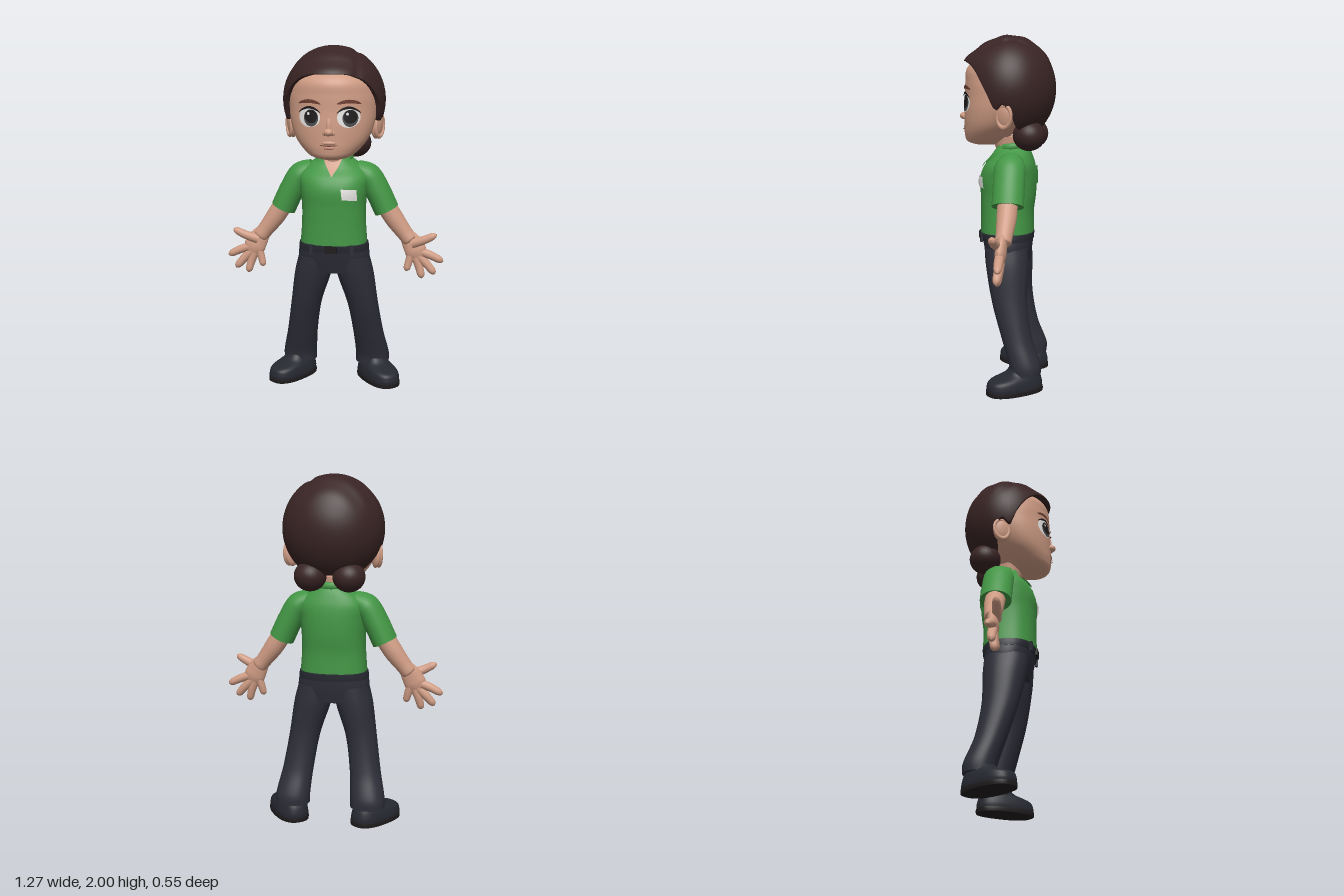
import * as THREE from 'three';

const paint = (name, color) => {
  const m = new THREE.MeshStandardMaterial({ color, side: THREE.DoubleSide });
  m.name = name;
  return m;
};
const SKIN = paint('skin', 0xcf9c84), HAIR = paint('darkBrownHair', 0x392424);
const GREEN = paint('greenShirt', 0x439645), NAVY = paint('darkTrousers', 0x2d2e38);
const SHOE = paint('shoeLeather', 0x272931), WHITE = paint('white', 0xe6e4e2);
const DARK = paint('nearBlack', 0x1f1b1c), IRIS = paint('greyIris', 0x4a4c4e);
const BROW = paint('browBrown', 0x6b3d30), LIP = paint('lip', 0xbd8470);

// Cross-section tables: [y, x, z, half width, half depth]
const HEAD = [[1.385, 0, .125, .06, .065], [1.4, 0, .135, .108, .1], [1.44, 0, .115, .158, .135],
  [1.5, 0, .086, .205, .166], [1.58, 0, .056, .235, .196], [1.66, 0, .04, .245, .207],
  [1.74, 0, .033, .245, .212], [1.82, 0, .03, .222, .203], [1.9, 0, .025, .14, .12]];
const TORSO = [[.885, 0, .005, .193, .152], [1, 0, .005, .185, .151], [1.1, 0, 0, .185, .158],
  [1.2, 0, 0, .195, .16], [1.27, 0, -.01, .2, .143], [1.32, 0, -.025, .165, .113],
  [1.36, 0, -.03, .11, .092], [1.385, 0, -.025, .08, .078]];
const HIPS = [[.71, 0, -.005, .2, .118], [.8, 0, 0, .208, .138], [.885, 0, .006, .194, .15]];
const LEG = [[.1, .222, -.122, .1, .088], [.15, .222, -.12, .1, .09], [.3, .2, -.07, .09, .086],
  [.5, .168, -.025, .09, .1], [.7, .122, -.007, .108, .122], [.8, .105, 0, .1, .125]];
const SHOE_ROWS = [[.02, 0, 0, .092, .166], [.045, 0, 0, .093, .167], [.08, 0, -.006, .086, .153],
  [.11, 0, -.045, .072, .1], [.15, 0, -.06, .06, .075]];
// Hairline height by angle from the front, in degrees
const HAIRLINE = [[0, 1.855], [25, 1.85], [46, 1.81], [66, 1.69], [77, 1.59], [88, 1.62],
  [98, 1.56], [112, 1.48], [140, 1.45], [180, 1.45]];

// Smooth interpolation of a table by its first column
function rowAt(rows, y) {
  const n = rows.length - 1;
  let i = 0;
  while (i < n - 1 && y > rows[i + 1][0]) i++;
  const a = rows[i], b = rows[i + 1], h = b[0] - a[0];
  const t = Math.min(1, Math.max(0, (y - a[0]) / h));
  const slope = (k, c) => {
    const p = rows[Math.max(0, k - 1)], q = rows[Math.min(n, k + 1)];
    return (q[c] - p[c]) / (q[0] - p[0]) * h;
  };
  return a.map((v, c) => c === 0 ? y : v * (2 * t ** 3 - 3 * t * t + 1) + b[c] * (3 * t * t - 2 * t ** 3)
    + slope(i, c) * (t ** 3 - 2 * t * t + t) + slope(i + 1, c) * (t ** 3 - t * t));
}

// Closed surface through rings of points, with end caps
function skinRings(rings) {
  const m = rings[0].length, pos = [], idx = [];
  const add = ring => { const s = pos.length / 3; ring.forEach(p => pos.push(p.x, p.y, p.z)); return s; };
  rings.forEach(add);
  for (let i = 0; i < rings.length - 1; i++) for (let j = 0; j < m; j++) {
    const k = (j + 1) % m, a = i * m + j, b = i * m + k, c = a + m, d = b + m;
    idx.push(a, b, c, b, d, c);
  }
  [rings[0], rings[rings.length - 1]].forEach((ring, top) => {
    const s = add(ring), mid = new THREE.Vector3();
    ring.forEach(p => mid.addScaledVector(p, 1 / m));
    const c = add([mid]);
    for (let j = 0; j < m; j++) {
      const k = (j + 1) % m;
      if (top) idx.push(c, s + j, s + k); else idx.push(c, s + k, s + j);
    }
  });
  const g = new THREE.BufferGeometry();
  g.setAttribute('position', new THREE.Float32BufferAttribute(pos, 3));
  g.setIndex(idx);
  g.computeVertexNormals();
  return g;
}

const bend = (v, n) => Math.sign(v) * Math.abs(v) ** (2 / n);
function loft(rows, { n = 2, side = 1, steps = 32, seg = 48 } = {}) {
  const y0 = rows[0][0], y1 = rows[rows.length - 1][0];
  return skinRings(Array.from({ length: steps + 1 }, (_, i) => {
    const [y, x, z, rx, rz] = rowAt(rows, y0 + (y1 - y0) * i / steps);
    return Array.from({ length: seg }, (_, j) => {
      const a = j / seg * Math.PI * 2;
      return new THREE.Vector3(x * side + rx * bend(Math.sin(a), n), y, z + rz * bend(Math.cos(a), n));
    });
  }));
}

// Limb along points [x, y, z, radius]; flat squashes its depth, round closes the tip
function limb(pts, { flat = 1, round = 0, side = 1, steps = 20, seg = 20 } = {}) {
  const curve = new THREE.CatmullRomCurve3(pts.map(p => new THREE.Vector3(p[0] * side, p[1], p[2])));
  const Z = new THREE.Vector3(0, 0, 1);
  return skinRings(Array.from({ length: steps + 1 }, (_, i) => {
    const t = i / steps, c = curve.getPoint(t), T = curve.getTangent(t);
    const f = t * (pts.length - 1), k = Math.min(pts.length - 2, Math.floor(f));
    let r = THREE.MathUtils.lerp(pts[k][3], pts[k + 1][3], f - k);
    if (round && t > 1 - round) r *= Math.sqrt(Math.max(.01, 1 - ((t - 1 + round) / round) ** 2));
    const u = T.clone().cross(Z).normalize(), w = T.clone().cross(u);
    return Array.from({ length: seg }, (_, j) => {
      const a = j / seg * Math.PI * 2;
      return c.clone().addScaledVector(u, r * Math.cos(a)).addScaledVector(w, r * flat * Math.sin(a));
    });
  }));
}

// Depth of a lofted surface, and thin plates laid on it
function surfaceZ(rows, n, x, y, dir = 1) {
  const [, cx, z, rx, rz] = rowAt(rows, y);
  return z + dir * rz * Math.max(0, 1 - Math.abs((x - cx) / rx) ** n) ** (1 / n);
}
function reshape(g, rule) {
  const p = g.attributes.position;
  for (let i = 0; i < p.count; i++) p.setXYZ(i, ...rule(p.getX(i), p.getY(i)));
  g.computeVertexNormals();
  return g;
}
const faceDisc = (cx, cy, rx, ry, off, arch = 0) => reshape(new THREE.RingGeometry(.001, 1, 32, 5), (u, v) => {
  const x = cx + u * rx, y = cy + v * ry - arch * u * u;
  return [x, y, surfaceZ(HEAD, 2, x, y) + off];
});
// Corners: bottom left, bottom right, top right, top left (seen from outside)
const clothPlate = ([a, b, c, d], off, dir = 1) => reshape(new THREE.PlaneGeometry(1, 1, 10, 10), (u, v) => {
  const s = u + .5, t = v + .5;
  const [x, y] = [0, 1].map(k => (a[k] * (1 - s) + b[k] * s) * (1 - t) + (d[k] * (1 - s) + c[k] * s) * t);
  return [x, y, surfaceZ(TORSO, 2.4, x, y, dir) + dir * off];
});

// Swept hair shell with a side parting, built from the hairline up to the crown
function hairShell() {
  const rows = 44, seg = 96, rings = [];
  for (let i = -1; i <= rows; i++) {
    rings.push(Array.from({ length: seg }, (_, j) => {
      const a = j / seg * Math.PI * 2, deg = Math.min(a, Math.PI * 2 - a) * 180 / Math.PI;
      const edge = Math.acos((rowAt(HAIRLINE, deg)[1] - 1.7) / .3);
      const t = edge * (1 - Math.max(0, i) / rows * .985), c = Math.max(0, Math.cos(a));
      const y = 1.7 + .3 * Math.cos(t);
      let x = .29 * Math.sin(t) * Math.sin(a), z = .26 * Math.sin(t) * Math.cos(a);
      z += .04 * c * c * Math.exp(-(((y - 1.86) / .08) ** 2));
      const upper = THREE.MathUtils.smoothstep(y, 1.76, 1.88);
      const groove = .03 * Math.exp(-(((x - .13 - z * .1) / .016) ** 2)) * THREE.MathUtils.smoothstep(z, -.2, 0);
      const wave = x < .12 ? .008 * Math.sin(z * 55 + x * x * 60) : 0;
      const k = (1 - upper * (groove - wave)) * (i < 0 ? .78 : 1);
      return new THREE.Vector3(x * k, 1.7 + (y - 1.7) * (i < 0 ? 1 : k), z * k - .01);
    }));
  }
  return skinRings(rings);
}

export function createModel() {
  const model = new THREE.Group();
  model.name = 'standingPerson';
  const add = (name, geo, mat, pos = [0, 0, 0], rot = [0, 0, 0], scale = [1, 1, 1]) => {
    const mesh = new THREE.Mesh(geo, mat);
    mesh.name = name;
    mesh.position.set(...pos);
    mesh.rotation.set(...rot);
    mesh.scale.set(...scale);
    model.add(mesh);
    return mesh;
  };
  const ball = new THREE.SphereGeometry(1, 28, 20);

  // Head and face
  add('head', loft(HEAD, { steps: 52, seg: 64 }), SKIN);
  add('neck', loft([[1.28, 0, -.01, .06, .06], [1.35, 0, 0, .066, .068], [1.43, 0, .01, .08, .085]]), SKIN);
  add('noseTip', ball, SKIN, [0, 1.547, .255], [0, 0, 0], [.026, .021, .027]);
  add('noseBridge', ball, SKIN, [0, 1.585, .242], [-.12, 0, 0], [.017, .055, .016]);
  add('lowerLip', ball, LIP, [0, 1.459, .243], [0, 0, 0], [.034, .011, .013]);
  add('upperLip', ball, SKIN, [0, 1.487, .245], [0, 0, 0], [.042, .012, .013]);
  add('mouthLine', faceDisc(0, 1.473, .05, .0035, .007, -.003), BROW);

  // Hair
  add('hair', hairShell(), HAIR);

  // Shirt body, open neck, collar and patches
  add('shirt', loft(TORSO, { n: 2.4, steps: 40 }), GREEN);
  add('openNeck', clothPlate([[-.002, 1.28], [.002, 1.28], [.07, 1.384], [-.07, 1.384]], .005), SKIN);
  add('collarBand', new THREE.TorusGeometry(.086, .017, 10, 40, Math.PI * 1.36).rotateZ(Math.PI * .82).rotateX(Math.PI / 2),
    GREEN, [0, 1.375, -.025], [.12, 0, 0], [1.05, 1.3, .95]);
  add('nameBadge', clothPlate([[.062, 1.155], [.145, 1.145], [.142, 1.208], [.055, 1.215]], .008), WHITE);
  add('backPatch', clothPlate([[.08, 1.165], [-.08, 1.165], [-.08, 1.265], [.08, 1.265]], .009, -1), GREEN);

  // Trousers top and belt
  add('hips', loft(HIPS, { n: 2.3 }), NAVY);
  add('belt', loft([[.842, 0, .004, .204, .15], [.86, 0, .005, .203, .153], [.88, 0, .006, .199, .155]], { n: 2.3, steps: 6 }), SHOE);
  add('buckle', new THREE.BoxGeometry(.07, .04, .016), DARK, [0, .862, .16]);

  for (const s of [1, -1]) {
    const side = s > 0 ? 'left' : 'right';
    const part = (name, ...rest) => add(side + name, ...rest);

    // Eyes and brows
    const ex = s * .107, ix = ex + .009;
    part('EyeWhite', faceDisc(ex, 1.625, .061, .054, .004), WHITE);
    part('Iris', faceDisc(ix, 1.622, .041, .046, .006), IRIS);
    part('Pupil', faceDisc(ix, 1.63, .036, .036, .0075), DARK);
    part('EyeGlint', faceDisc(ix - .015, 1.645, .008, .008, .009), WHITE);
    part('Lashes', faceDisc(ex, 1.679, .064, .007, .0085, .03), DARK);
    part('Brow', faceDisc(s * .108, 1.712, .064, .01, .007, .014), BROW);
    part('Nostril', ball, SKIN, [s * .022, 1.54, .245], [0, 0, 0], [.014, .013, .017]);

    // Ears and low hair buns
    part('Ear', ball, SKIN, [s * .245, 1.55, -.005], [0, s * -.45, s * -.12], [.022, .07, .052]);
    part('EarRim', new THREE.TorusGeometry(.046, .01, 10, 28), SKIN,
      [s * .258, 1.553, -.005], [0, s * 1.12, s * -.12], [.95, 1.3, 1]);
    part('HairBun', ball, HAIR, [s * .11, 1.442, -.128], [0, 0, 0], [.092, .086, .092]);

    // Collar flap
    part('CollarFlap', clothPlate([[s * .012, 1.283], [s * .092, 1.265], [s * .108, 1.365], [s * .06, 1.385]], .012), GREEN);

    // Sleeve, forearm and palm
    part('Sleeve', limb([[.12, 1.3, -.03, .055], [.195, 1.265, -.03, .072], [.25, 1.175, -.03, .073],
      [.302, 1.065, -.03, .073]], { side: s, flat: 1.22, seg: 28 }), GREEN);
    part('Forearm', limb([[.28, 1.12, -.03, .058], [.35, 1.01, -.03, .056], [.41, .93, -.025, .047],
      [.45, .88, -.02, .045]], { side: s, round: .08 }), SKIN);
    part('Palm', limb([[.415, .925, -.022, .042], [.445, .885, -.018, .056], [.475, .83, -.012, .064],
      [.505, .765, -.008, .056]], { side: s, flat: .5, round: .35 }), SKIN);

    // Thumb and fingers: base, middle, tip
    [['Thumb', [.455, .875, 0, .03], [.525, .902, .016, .025], [.595, .938, .022, .02]],
      ['IndexFinger', [.49, .83, -.01, .026], [.56, .805, -.012, .025], [.636, .768, -.014, .021]],
      ['MiddleFinger', [.49, .8, -.01, .026], [.54, .752, -.008, .025], [.59, .695, 0, .021]],
      ['RingFinger', [.475, .79, -.01, .026], [.497, .735, -.006, .024], [.515, .668, .004, .021]],
      ['LittleFinger', [.45, .81, -.012, .024], [.436, .76, -.008, .022], [.422, .708, 0, .019]],
    ].forEach(([name, ...pts]) => part(name, limb(pts, { side: s, round: .22, seg: 14 }), SKIN));

    // Trouser leg, belt loop and shoe
    part('TrouserLeg', loft(LEG, { side: s, n: 2.2 }), NAVY);
    part('BeltLoop', new THREE.BoxGeometry(.022, .055, .014), NAVY, [s * .115, .86, .142], [0, s * .35, 0]);
    const foot = [s * .262, 0, -.065], yaw = [0, s * .62, 0];
    part('Shoe', loft(SHOE_ROWS, { n: 2.5 }), SHOE, foot, yaw);
    part('Sole', loft([[0, 0, 0, .095, .17], [.012, 0, 0, .096, .171], [.024, 0, 0, .095, .17]], { n: 2.5, steps: 4 }),
      DARK, foot, yaw);
  }
  return model;
}
